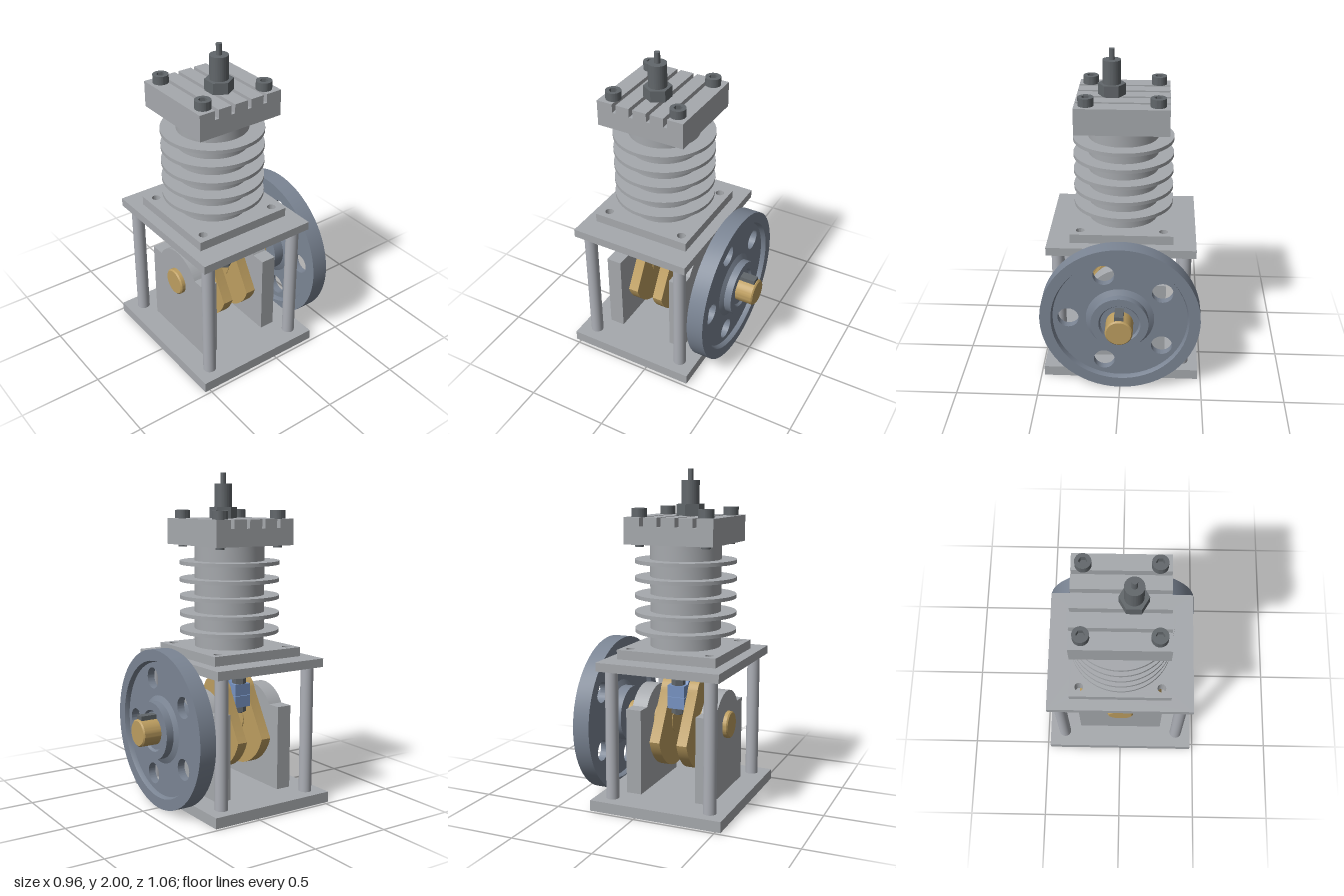
import * as THREE from 'three';
import { toCreasedNormals } from 'three/addons/utils/BufferGeometryUtils.js';

const CZ = 0.12;      // centre of the engine along z
const SHAFT_Y = 0.485;
const PIN_Y = 0.655;

const mat = (name, hex) => {
  const m = new THREE.MeshStandardMaterial({ color: hex });
  m.name = name;
  return m;
};

const V = (list) => list.map(([x, y]) => new THREE.Vector2(x, y));

function circlePath(x, y, r, Type = THREE.Path) {
  const p = new Type();
  p.absarc(x, y, r, 0, Math.PI * 2, false);
  return p;
}

function rectShape(hw, hh) {
  return new THREE.Shape(V([[-hw, -hh], [hw, -hh], [hw, hh], [-hw, hh]]));
}

function hexPoints(r) {
  return V([0, 1, 2, 3, 4, 5].map((i) => [r * Math.cos(i * Math.PI / 3), r * Math.sin(i * Math.PI / 3)]));
}

// Extrusion along +z with crisp edges and smooth curves
function extrude(shape, depth) {
  return toCreasedNormals(new THREE.ExtrudeGeometry(shape, { depth, bevelEnabled: false, curveSegments: 32 }), 0.5);
}
// Extrusion along +y
const slab = (shape, depth) => extrude(shape, depth).rotateX(-Math.PI / 2);
const lathe = (list) => toCreasedNormals(new THREE.LatheGeometry(V(list), 64), 0.5);
// Turned part lying along z: profile entries are [radius, z]
const latheZ = (list) => lathe(list).rotateX(Math.PI / 2);

export function createModel() {
  const model = new THREE.Group();
  model.name = 'singleCylinderEngine';
  const grey = mat('castGrey', 0xa6a9ad);
  const steel = mat('postSteel', 0xadb0b7);
  const wheel = mat('flywheelGrey', 0x7b8594);
  const dark = mat('darkSteel', 0x62676b);
  const brass = mat('brass', 0xbd9e60);
  const blue = mat('rodBlue', 0x7793c2);

  const add = (name, geo, material, x = 0, y = 0, z = 0, parent = model) => {
    const m = new THREE.Mesh(geo, material);
    m.name = name;
    m.position.set(x, y, z);
    parent.add(m);
    return m;
  };
  const corners = (dx, dz, fn) => {
    for (const sx of [-1, 1]) for (const sz of [-1, 1]) fn(sx * dx, CZ + sz * dz);
  };

  // Base, posts and the pierced upper plate
  add('basePlate', new THREE.BoxGeometry(0.96, 0.065, 0.824), grey, 0, 0.0325, CZ);
  corners(0.381, 0.31, (x, z) =>
    add('post', new THREE.CylinderGeometry(0.039, 0.039, 0.78, 32), steel, x, 0.455, z));
  const pierced = (hw, hh) => {
    const s = rectShape(hw, hh);
    s.holes.push(circlePath(0, 0, 0.175));
    for (const a of [-0.25, 0.25]) for (const b of [-0.25, 0.25]) s.holes.push(circlePath(a, b, 0.026));
    return s;
  };
  add('topPlate', slab(pierced(0.447, 0.38), 0.052), grey, 0, 0.845, CZ);
  add('cylinderFlange', slab(pierced(0.31, 0.31), 0.056), grey, 0, 0.897, CZ);

  // Finned barrel, open below
  const barrel = [[0.175, 0.95], [0.213, 0.95]];
  for (let i = 0; i < 5; i++) {
    const y = 1.05 + i * 0.1035;
    barrel.push([0.213, y - 0.011], [0.304, y - 0.011], [0.304, y + 0.011], [0.213, y + 0.011]);
  }
  barrel.push([0.213, 1.572], [0.175, 1.572], [0.175, 0.95]);
  add('finnedBarrel', lathe(barrel), grey, 0, 0, CZ);
  add('piston', new THREE.CylinderGeometry(0.172, 0.172, 0.28, 48), steel, 0, 1.18, CZ);

  // Head with four grooves running side to side
  const head = [[-0.275, 0], [0.275, 0], [0.275, 0.157]];
  for (const c of [0.164, 0.055, -0.055, -0.164]) {
    head.push([c + 0.012, 0.157], [c + 0.012, 0.104], [c - 0.012, 0.104], [c - 0.012, 0.157]);
  }
  head.push([-0.275, 0.157]);
  add('cylinderHead', extrude(new THREE.Shape(V(head)), 0.55).rotateY(Math.PI / 2), grey, -0.275, 1.57, CZ);

  // Socket-head bolts
  const socket = circlePath(0, 0, 0.046, THREE.Shape);
  socket.holes.push(new THREE.Path(hexPoints(0.025)));
  const socketGeo = slab(socket, 0.05);
  corners(0.207, 0.207, (x, z) => {
    const bolt = new THREE.Group();
    bolt.name = 'headBolt';
    bolt.position.set(x, 0, z);
    model.add(bolt);
    add('boltHead', socketGeo, dark, 0, 1.727, 0, bolt);
    add('boltShank', new THREE.CylinderGeometry(0.027, 0.027, 0.185, 24), dark, 0, 1.6475, 0, bolt);
  });

  // Spark plug
  const plug = new THREE.Group();
  plug.name = 'sparkPlug';
  plug.position.set(0.069, 0, CZ);
  model.add(plug);
  add('plugHex', slab(new THREE.Shape(hexPoints(0.083)), 0.068), dark, 0, 1.727, 0, plug);
  add('plugBody', lathe([[0, 1.79], [0.054, 1.79], [0.054, 1.935], [0.017, 1.935], [0.017, 2], [0, 2]]),
    dark, 0, 0, 0, plug);

  // Bearing blocks with domed tops
  const block = new THREE.Shape();
  const domeA = Math.asin(0.102 / 0.208);
  block.moveTo(-0.273, 0.065);
  block.lineTo(0.273, 0.065);
  block.lineTo(0.273, 0.587);
  block.absarc(0, SHAFT_Y, 0.208, domeA, Math.PI - domeA, false);
  block.lineTo(-0.273, 0.587);
  for (const z of [0.296, -0.15]) add('bearingBlock', extrude(block, 0.096), grey, 0, 0, z);

  // Crankshaft: shaft ends, webs with counterweights and the crank pin
  add('shaftFront', latheZ([[0, 0.17], [0.082, 0.17], [0.082, 0.415], [0.074, 0.423], [0, 0.423]]),
    brass, 0, SHAFT_Y, 0);
  add('shaftRear', latheZ([[0, -0.53], [0.074, -0.53], [0.082, -0.522], [0.082, 0.07], [0, 0.07]]),
    brass, 0, SHAFT_Y, 0);
  const web = new THREE.Shape();
  web.absarc(0, PIN_Y, 0.11, 0.25, Math.PI - 0.25, false);
  web.absarc(0, SHAFT_Y, 0.285, Math.PI + 0.3, Math.PI * 2 - 0.3, false);
  for (const z of [0.176, 0.002]) add('crankWeb', extrude(web, 0.064), brass, 0, 0, z);
  add('crankPin', new THREE.CylinderGeometry(0.07, 0.07, 0.12, 32).rotateX(Math.PI / 2), brass, 0, PIN_Y, CZ);

  // Connecting rod with split, bolted big end
  const rod = new THREE.Group();
  rod.name = 'connectingRod';
  rod.position.z = CZ;
  model.add(rod);
  add('bigEnd', new THREE.CylinderGeometry(0.12, 0.12, 0.108, 48).rotateX(Math.PI / 2), blue, 0, PIN_Y, 0, rod);
  for (const y of [0.622, 0.695]) add('bigEndCap', new THREE.BoxGeometry(0.3, 0.07, 0.108), blue, 0, y, 0, rod);
  add('rodShank', new THREE.BoxGeometry(0.082, 0.35, 0.084), blue, 0, 0.925, 0, rod);
  const nut = slab(new THREE.Shape(hexPoints(0.043)), 0.033);
  for (const x of [-0.11, 0.11]) {
    for (const y of [0.73, 0.555]) add('rodNut', nut, dark, x, y, 0, rod);
    add('rodBolt', new THREE.CylinderGeometry(0.02, 0.02, 0.23, 20), dark, x, 0.66, 0, rod);
  }

  // Flywheel: rim, pierced disc, stepped hub and key
  const fly = new THREE.Group();
  fly.name = 'flywheel';
  fly.position.y = SHAFT_Y;
  model.add(fly);
  add('rim', latheZ([[0.415, -0.397], [0.482, -0.397], [0.482, -0.293], [0.415, -0.293], [0.405, -0.32],
    [0.405, -0.37], [0.415, -0.397]]), wheel, 0, 0, 0, fly);
  const disc = circlePath(0, 0, 0.41, THREE.Shape);
  disc.holes.push(circlePath(0, 0, 0.1));
  for (let i = 0; i < 5; i++) {
    const a = i * Math.PI * 0.4;
    disc.holes.push(circlePath(0.312 * Math.cos(a), 0.312 * Math.sin(a), 0.064));
  }
  add('disc', extrude(disc, 0.046), wheel, 0, 0, -0.368, fly);
  add('hub', latheZ([[0.08, -0.415], [0.115, -0.415], [0.125, -0.43], [0.172, -0.43], [0.172, -0.385],
    [0.205, -0.368], [0.205, -0.322], [0.172, -0.305], [0.172, -0.238], [0.08, -0.238]]), wheel, 0, 0, 0, fly);
  add('shaftKey', new THREE.BoxGeometry(0.054, 0.06, 0.18), dark, 0, 0.074, -0.427, fly);

  return model;
}
